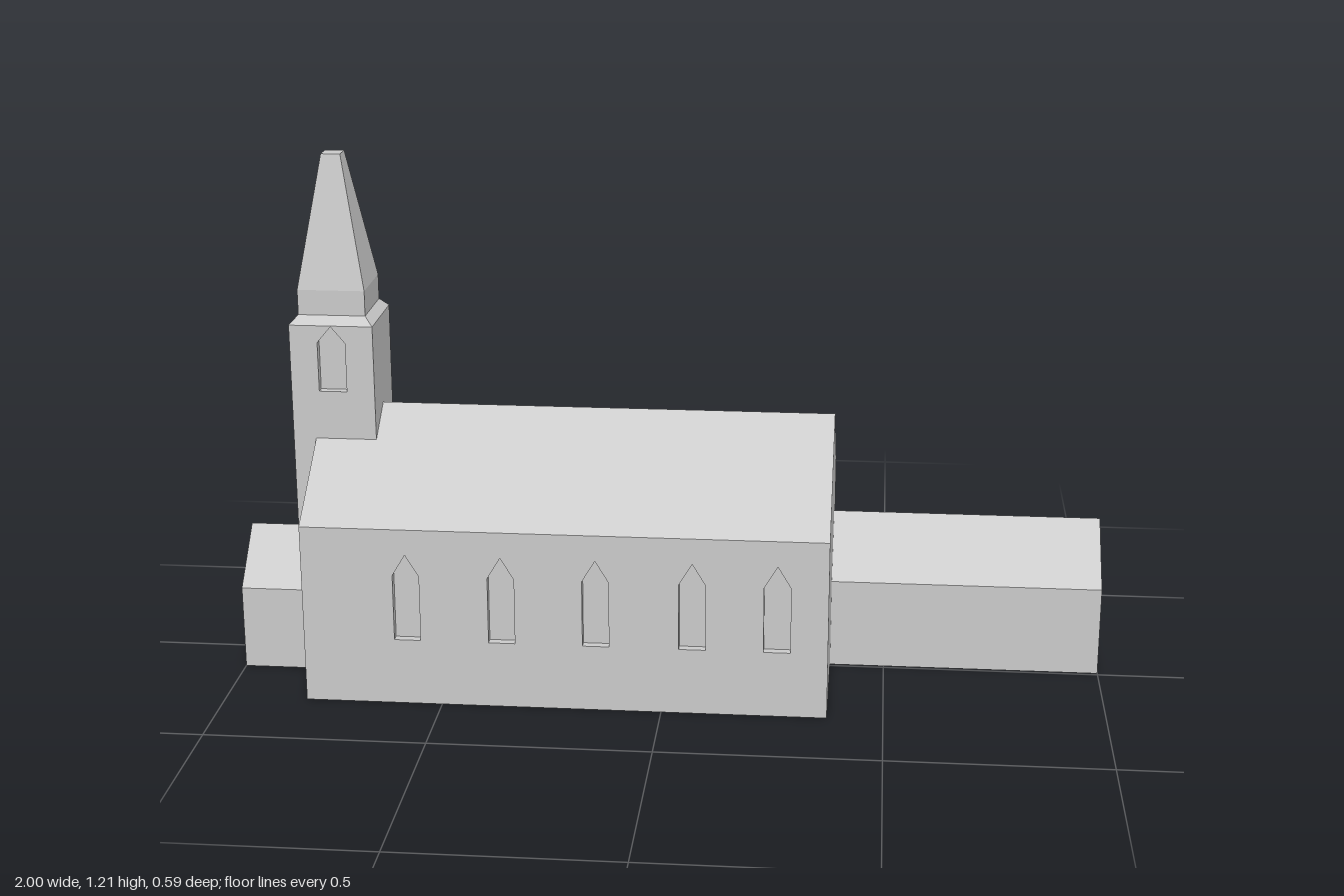
import * as THREE from 'three';

const RECESS = 0.02; // depth of window and door niches

const stone = new THREE.MeshStandardMaterial({ color: 0xcccccc });
stone.name = 'pale grey stone';

function add(group, name, geometry, x = 0, y = 0, z = 0, turn = 0) {
  const mesh = new THREE.Mesh(geometry, stone);
  mesh.name = name;
  mesh.position.set(x, y, z);
  mesh.rotation.y = turn;
  group.add(mesh);
  return mesh;
}

// Polygon from [x, y] pairs
const polygon = (pts) => pts.map(([x, y]) => new THREE.Vector2(x, y));

// House-shaped outline with its ridge over x = 0
const gable = (half, eave, ridge) =>
  polygon([[-half, 0], [half, 0], [half, eave], [0, ridge], [-half, eave]]);

// Pointed lancet opening
const lancet = (cx, width, sill, shoulder, tip) => new THREE.Path(polygon([
  [cx - width / 2, sill], [cx + width / 2, sill], [cx + width / 2, shoulder],
  [cx, tip], [cx - width / 2, shoulder],
]));

const extrude = (outline, depth, holes = []) => {
  const shape = new THREE.Shape(outline);
  shape.holes.push(...holes);
  return new THREE.ExtrudeGeometry(shape, { depth, bevelEnabled: false });
};

// Gabled block running along x from x0 to x1
const gabledBlock = (outline, x0, x1) =>
  extrude(outline, x1 - x0).rotateY(Math.PI / 2).translate(x0, 0, 0);

// Rectangular wall skin with openings; its inner top edge can rise to meet a roof slope
function wallSkin(x0, x1, y0, y1, holes, rise = 0) {
  const geo = extrude(polygon([[x0, y0], [x1, y0], [x1, y1], [x0, y1]]), RECESS, holes);
  const p = geo.attributes.position;
  for (let i = 0; i < p.count; i++) {
    if (p.getY(i) > y1 - 1e-4 && p.getZ(i) < 1e-4) p.setY(i, y1 + rise);
  }
  geo.computeVertexNormals();
  return geo;
}

// Box whose top is narrowed to a second size
function taperedBox(w0, d0, w1, d1, y0, y1) {
  const geo = new THREE.BoxGeometry(w0, y1 - y0, d0).translate(0, (y0 + y1) / 2, 0);
  const p = geo.attributes.position;
  for (let i = 0; i < p.count; i++) {
    if (p.getY(i) > y1 - 1e-4) {
      p.setX(i, p.getX(i) * w1 / w0);
      p.setZ(i, p.getZ(i) * d1 / d0);
    }
  }
  geo.computeVertexNormals();
  return geo;
}

function buildNave() {
  const nave = new THREE.Group();
  nave.name = 'nave';
  const x0 = -0.813, x1 = 0.374, half = 0.294, eave = 0.42, ridge = 0.625;
  const rise = RECESS * (ridge - eave) / half;
  add(nave, 'naveCore', gabledBlock(gable(half - RECESS, eave + rise, ridge), x0, x1));
  const windows = [-0.575, -0.36, -0.147, 0.07, 0.26];
  // Front wall, and the back wall turned half round with mirrored positions
  for (const s of [1, -1]) {
    const holes = windows.map((x) => lancet(s * x, 0.06, 0.155, 0.31, 0.36));
    const ends = [s * x0, s * x1].sort((a, b) => a - b);
    add(nave, s > 0 ? 'frontWall' : 'backWall', wallSkin(ends[0], ends[1], 0, eave, holes, rise),
      0, 0, s * (half - RECESS), s > 0 ? 0 : Math.PI);
  }
  return nave;
}

function buildPorch() {
  const porch = new THREE.Group();
  porch.name = 'porch';
  const outline = gable(0.12, 0.197, 0.315);
  add(porch, 'porchCore', gabledBlock(outline, -1 + RECESS, -0.8));
  // Gable wall with the arched doorway
  add(porch, 'porchGable', extrude(outline, RECESS, [lancet(0, 0.08, 0.02, 0.14, 0.2)]),
    -1 + RECESS, 0, 0, -Math.PI / 2);
  return porch;
}

function buildTower() {
  const tower = new THREE.Group();
  tower.name = 'tower';
  const w = 0.192, d = 0.194, y0 = 0.1, y1 = 0.83;
  const opening = () => [lancet(0, 0.064, 0.675, 0.79, 0.828)];
  const core = new THREE.BoxGeometry(w - RECESS, y1 - y0, d - 2 * RECESS);
  add(tower, 'towerCore', core, RECESS / 2, (y0 + y1) / 2, 0);
  // Belfry walls on three sides; the side over the nave stays blank
  add(tower, 'towerFront', wallSkin(-w / 2, w / 2, y0, y1, opening()), 0, 0, d / 2 - RECESS);
  add(tower, 'towerBack', wallSkin(-w / 2, w / 2, y0, y1, opening()), 0, 0, -d / 2 + RECESS, Math.PI);
  add(tower, 'towerSide', wallSkin(-d / 2 + RECESS, d / 2 - RECESS, y0, y1, opening()),
    -w / 2 + RECESS, 0, 0, -Math.PI / 2);
  // Sloped cornice, short drum and tapering spire
  add(tower, 'cornice', taperedBox(w, d, 0.154, 0.156, y1, 0.85));
  add(tower, 'spireBase', taperedBox(0.154, 0.156, 0.154, 0.156, 0.85, 0.908));
  add(tower, 'spire', taperedBox(0.154, 0.156, 0.044, 0.044, 0.908, 1.21));
  tower.position.set(-0.769, 0, -0.007);
  return tower;
}

export function createModel() {
  const church = new THREE.Group();
  church.name = 'church';
  church.add(buildNave(), buildPorch(), buildTower());
  // Low side wing, flush with the back wall
  add(church, 'wing', gabledBlock(gable(0.143, 0.21, 0.335), 0.374, 1), 0, 0, -0.151);
  return church;
}
